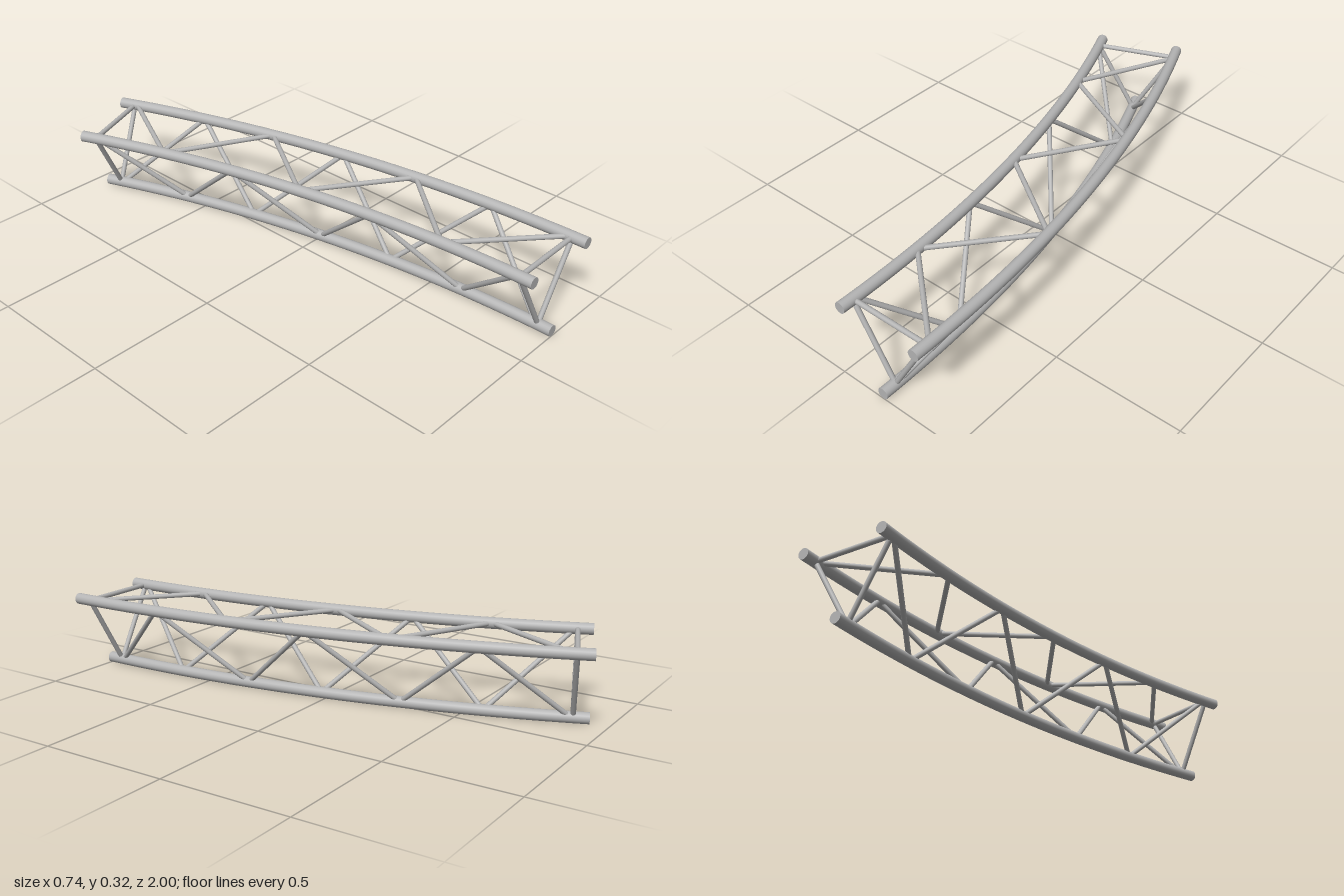
import * as THREE from 'three';

const SWEEP = Math.PI / 8;          // the truss bends through 22.5 degrees
const CENTRE_X = -4.86, START_Z = 1; // centre of the bend
const CHORD_R = 0.0215, BAR_R = 0.0095;

// The three main tubes: bend radius and height
const INNER = { name: 'innerTopChord', r: 4.882, y: 0.303 };
const OUTER = { name: 'outerTopChord', r: 5.205, y: 0.303 };
const BOTTOM = { name: 'bottomChord', r: 5.0435, y: 0.0215 };

function pointOn(chord, angle, target = new THREE.Vector3()) {
  return target.set(CENTRE_X + chord.r * Math.cos(angle), chord.y, START_Z - chord.r * Math.sin(angle));
}

class ChordCurve extends THREE.Curve {
  constructor(chord) {
    super();
    this.chord = chord;
  }
  getPoint(t, target) {
    return pointOn(this.chord, t * SWEEP, target);
  }
  getTangent(t, target = new THREE.Vector3()) {
    return target.set(-Math.sin(t * SWEEP), 0, -Math.cos(t * SWEEP));
  }
}

export function createModel() {
  const model = new THREE.Group();
  model.name = 'curvedTriangularTruss';
  const metal = new THREE.MeshStandardMaterial({ color: 0xb4b4b4 });
  metal.name = 'grey aluminium';

  // Curved main tube with a flat cap at each end
  function addChord(chord) {
    const group = new THREE.Group();
    group.name = chord.name;
    const tube = new THREE.Mesh(new THREE.TubeGeometry(new ChordCurve(chord), 32, CHORD_R, 20), metal);
    tube.name = 'tube';
    group.add(tube);
    for (const [angle, turn] of [[0, 0], [SWEEP, Math.PI + SWEEP]]) {
      const cap = new THREE.Mesh(new THREE.CircleGeometry(CHORD_R, 20), metal);
      cap.name = 'endCap';
      cap.position.copy(pointOn(chord, angle));
      cap.rotation.y = turn;
      group.add(cap);
    }
    model.add(group);
  }

  // Straight thin bar between points on two chords
  function addBar(name, chordA, angleA, chordB, angleB) {
    const a = pointOn(chordA, angleA), b = pointOn(chordB, angleB);
    const dir = b.clone().sub(a);
    const bar = new THREE.Mesh(new THREE.CylinderGeometry(BAR_R, BAR_R, dir.length(), 14), metal);
    bar.name = name;
    bar.position.copy(a).add(b).multiplyScalar(0.5);
    bar.quaternion.setFromUnitVectors(new THREE.Vector3(0, 1, 0), dir.normalize());
    model.add(bar);
  }

  [INNER, OUTER, BOTTOM].forEach(addChord);

  // Each face: a zigzag of six diagonals, plus a bar closing each end
  const faces = [
    ['top', OUTER, INNER],
    ['outer', BOTTOM, OUTER],
    ['inner', INNER, BOTTOM],
  ];
  const first = 0.0135, step = (SWEEP - 2 * first) / 6;
  for (const [name, from, to] of faces) {
    for (let i = 0; i < 6; i++) {
      const [a, b] = i % 2 ? [to, from] : [from, to];
      addBar(name + 'Diagonal', a, first + i * step, b, first + (i + 1) * step);
    }
    for (const angle of [0.0115, SWEEP - 0.0115]) addBar(name + 'EndBar', from, angle, to, angle);
  }
  return model;
}
